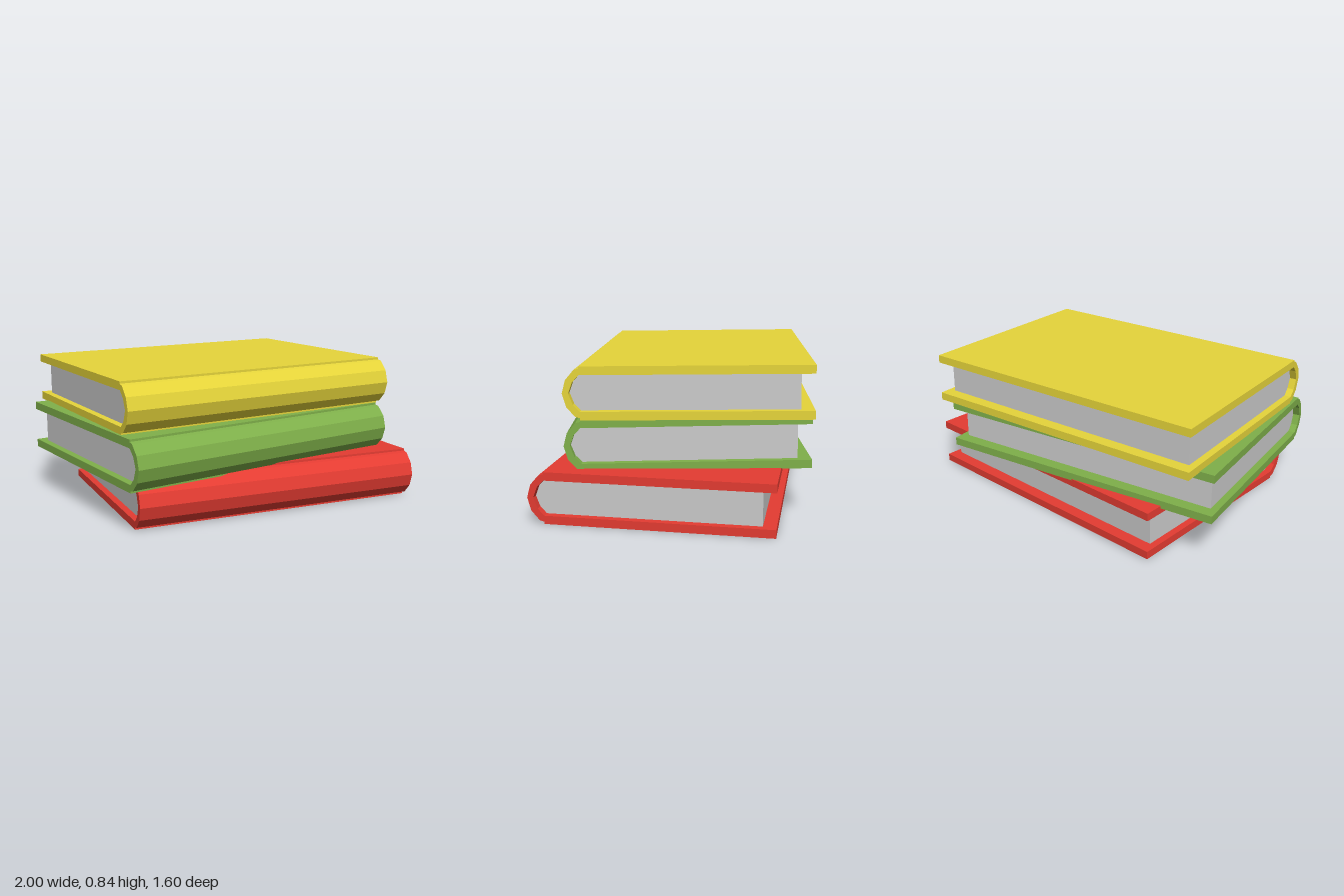
import * as THREE from 'three';

const LENGTH = 1.71;   // along the spine
const BACK = -0.645;   // fore edge of the covers
const HINGE = 0.555;   // where covers meet the spine

// Extrude a (z, y) outline along x, centred on x = 0
function extrudeAlongX(points, length) {
  const shape = new THREE.Shape(points.map(([z, y]) => new THREE.Vector2(z, y)));
  const geo = new THREE.ExtrudeGeometry(shape, { depth: length, bevelEnabled: false });
  geo.translate(0, 0, -length / 2);
  geo.rotateY(-Math.PI / 2);
  return geo;
}

// Complete a top-to-middle half outline with its mirror below
const mirrored = (half) => [...half, ...half.slice(0, -1).reverse().map(([z, y]) => [z, -y])];

function makeBook(name, color) {
  const book = new THREE.Group();
  book.name = name;
  const coverMat = new THREE.MeshStandardMaterial({ color, flatShading: true });
  const pageMat = new THREE.MeshStandardMaterial({ color: 0xcccccc, flatShading: true });
  const add = (part, geo, mat) => {
    const mesh = new THREE.Mesh(geo, mat);
    mesh.name = part;
    book.add(mesh);
  };

  // Wrap-around cover: boards, small hinge step and faceted spine
  const outer = mirrored([[BACK, 0.14], [HINGE, 0.14], [HINGE, 0.128], [0.58, 0.122], [0.625, 0.07], [0.645, 0]]);
  const inner = mirrored([[HINGE, 0.095], [0.59, 0.058], [0.612, 0]]);
  const wrap = [...outer, [BACK, -0.095], ...[...inner].reverse(), [BACK, 0.095]];
  add('cover', extrudeAlongX(wrap, LENGTH), coverMat);

  // Page block, rounded at the spine and set back from the cover edges
  add('pages', extrudeAlongX([[BACK + 0.07, 0.095], ...inner, [BACK + 0.07, -0.095]], LENGTH - 0.08), pageMat);
  return book;
}

export function createModel() {
  const model = new THREE.Group();
  model.name = 'bookStack';

  const bottom = makeBook('bottomBook', 0xe53c32);
  bottom.position.set(0.145, 0.14, 0.0125);

  const middle = makeBook('middleBook', 0x7fb04a);
  middle.position.set(-0.04, 0.401, 0.005);
  middle.rotation.set(0.0155, 0.188, 0.0105, 'YXZ');

  const top = makeBook('topBook', 0xe6d53a);
  top.position.set(-0.007, 0.679, -0.055);
  top.rotation.set(0.0155, 0.124, 0.0105, 'YXZ');

  model.add(bottom, middle, top);
  return model;
}
